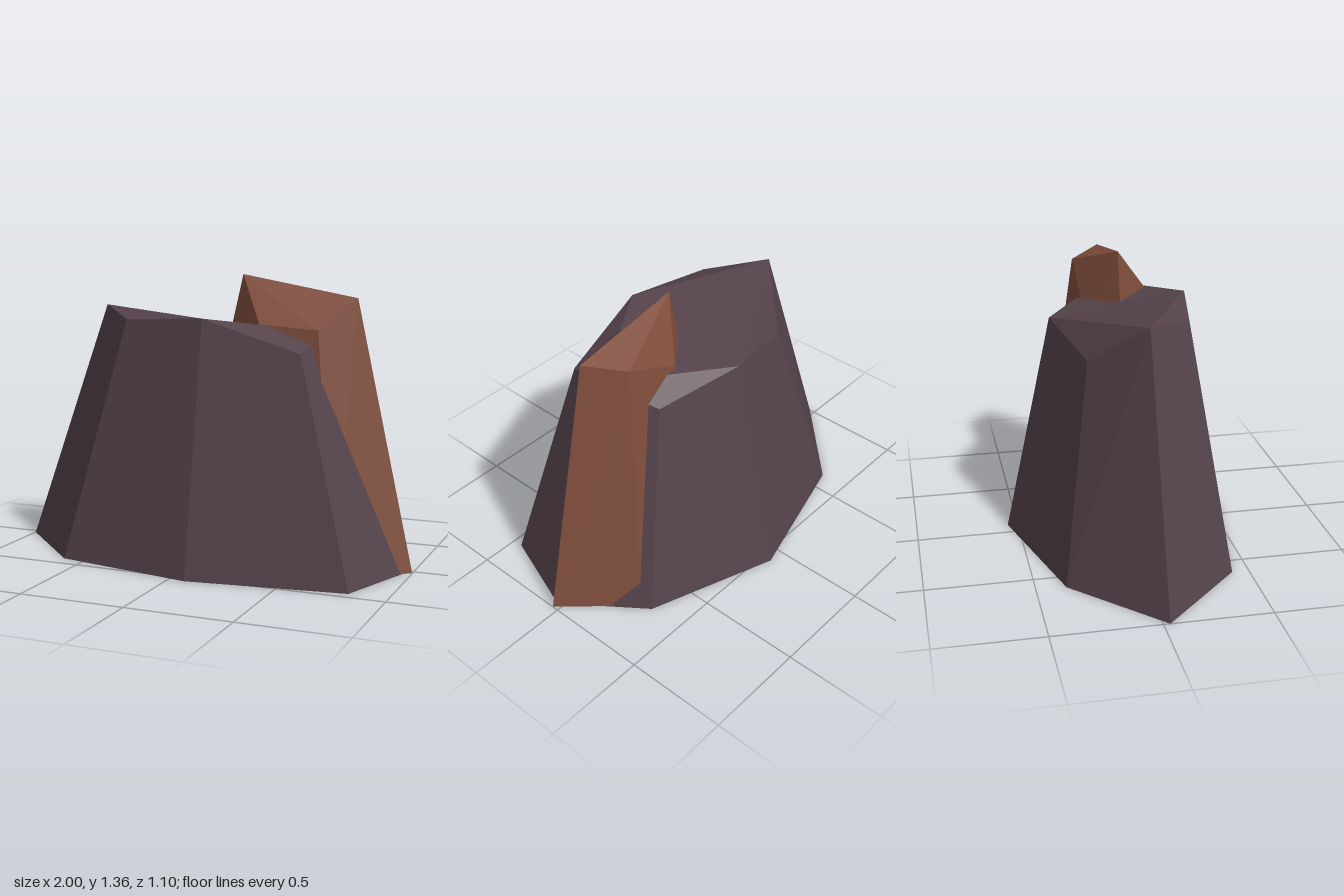
import * as THREE from 'three';

// Flat-faced solid between a ground ring [x, z] and a top ring [x, y, z],
// both counter-clockwise seen from above; cap lists the top triangles by ring index.
function loft(name, material, base, top, cap, baseY = 0) {
  const n = base.length;
  const bottom = base.map(([x, z]) => [x, baseY, z]);
  const corners = [];
  for (let i = 0; i < n; i++) {
    const j = (i + 1) % n;
    corners.push(bottom[i], bottom[j], top[j], bottom[i], top[j], top[i]);
    if (i > 0 && i < n - 1) corners.push(bottom[0], bottom[i + 1], bottom[i]);
  }
  for (const tri of cap) corners.push(...tri.map((k) => top[k]));
  const geometry = new THREE.BufferGeometry();
  geometry.setAttribute('position', new THREE.Float32BufferAttribute(corners.flat(), 3));
  geometry.computeVertexNormals();
  const mesh = new THREE.Mesh(geometry, material);
  mesh.name = name;
  return mesh;
}

export function createModel() {
  const darkStone = new THREE.MeshStandardMaterial({ color: 0x54424a, flatShading: true });
  darkStone.name = 'darkStone';
  const rustStone = new THREE.MeshStandardMaterial({ color: 0x804e3d, flatShading: true });
  rustStone.name = 'rustStone';

  const group = new THREE.Group();
  group.name = 'rock';

  // Main boulder: eight sides, from the left tip round the front to the back
  group.add(loft('boulder', darkStone,
    [[-1, 0.03], [-0.61, 0.42], [0.08, 0.55], [0.82, 0.45],
      [0.97, 0.03], [0.7, -0.33], [0.08, -0.55], [-0.6, -0.36]],
    [[-0.56, 1.2, 0.03], [-0.34, 1.15, 0.26], [0.08, 1.17, 0.34], [0.53, 1.02, 0.28],
      [0.6, 1.1, 0.03], [0.47, 0.99, -0.19], [0.08, 1.075, -0.32], [-0.34, 0.99, -0.21]],
    [[0, 1, 2], [0, 2, 6], [0, 6, 7], [2, 3, 4], [2, 4, 6], [4, 5, 6]]));

  // Taller shard: six sides with a sloping ridge, pushed through the boulder
  group.add(loft('shard', rustStone,
    [[-0.16, 0.03], [0.2, 0.3], [0.7, 0.3], [1, 0.03], [0.72, -0.28], [0.2, -0.28]],
    [[0.16, 1.36, 0.03], [0.3, 1.14, 0.19], [0.58, 1.12, 0.18],
      [0.72, 1.26, 0.03], [0.58, 1.225, -0.125], [0.3, 1.11, -0.13]],
    [[0, 1, 2], [0, 2, 3], [0, 3, 4], [0, 4, 5]], 0.002));

  return group;
}
